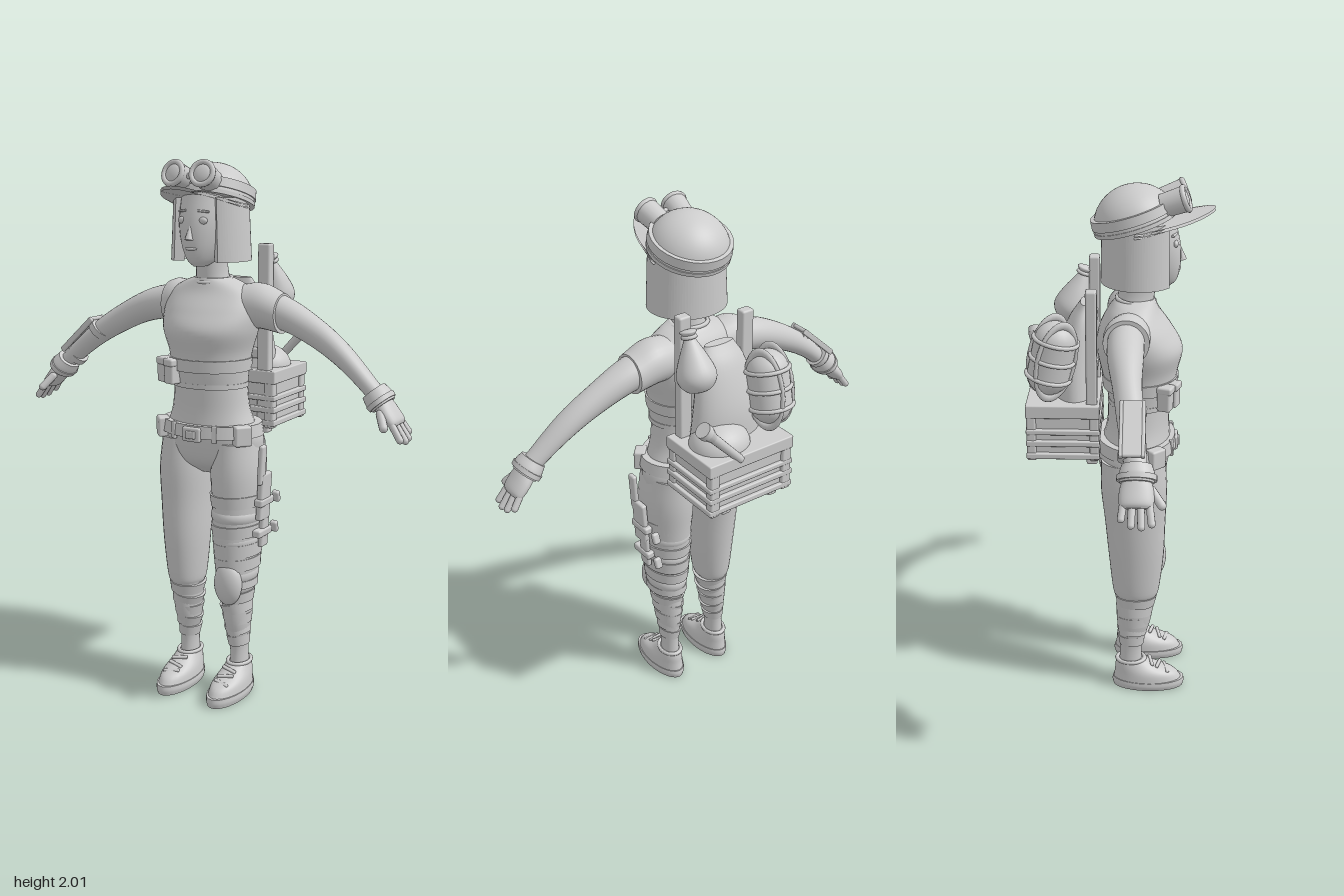
import * as THREE from 'three';
import { RoundedBoxGeometry } from 'three/addons/geometries/RoundedBoxGeometry.js';

const grey = new THREE.MeshStandardMaterial({ color: 0xcccccc, side: THREE.DoubleSide });
grey.name = 'plain grey';

function add(parent, name, geo, pos = [0, 0, 0], rot = [0, 0, 0], scale = [1, 1, 1]) {
  const m = new THREE.Mesh(geo, grey);
  m.name = name;
  m.position.set(...pos);
  m.rotation.set(...rot);
  m.scale.set(...scale);
  parent.add(m);
  return m;
}

// Smooth skin through oval sections [x, y, z, r1, r2], stacked along y or along x.
function loft(sections, axis = 'y', steps = 5, n = 28) {
  const mid = new THREE.CatmullRomCurve3(sections.map(s => new THREE.Vector3(s[0], s[1], s[2])), false, 'catmullrom');
  const rad = new THREE.CatmullRomCurve3(sections.map(s => new THREE.Vector3(s[3], s[4], 0)), false, 'catmullrom');
  const rows = (sections.length - 1) * steps, pos = [], idx = [];
  const ring = t => {
    const c = mid.getPoint(t), r = rad.getPoint(t);
    for (let j = 0; j < n; j++) {
      const a = j / n * Math.PI * 2, u = Math.cos(a), v = Math.sin(a);
      if (axis === 'y') pos.push(c.x + r.x * u, c.y, c.z + r.y * v);
      else pos.push(c.x, c.y + r.x * v, c.z + r.y * u);
    }
  };
  for (let k = 0; k <= rows; k++) ring(k / rows);
  for (let k = 0; k < rows; k++) for (let j = 0; j < n; j++) {
    const p = k * n + j, r = k * n + (j + 1) % n;
    idx.push(p, p + n, r, r, p + n, r + n);
  }
  for (const t of [0, 1]) {
    const base = pos.length / 3;
    ring(t);
    for (let j = 1; j < n - 1; j++) idx.push(base, base + (t ? j + 1 : j), base + (t ? j : j + 1));
  }
  const g = new THREE.BufferGeometry();
  g.setAttribute('position', new THREE.Float32BufferAttribute(pos, 3));
  g.setIndex(idx);
  g.computeVertexNormals();
  return g;
}

const box = (w, h, d, r = 0.008) => new RoundedBoxGeometry(w, h, d, 2, r);
const ball = new THREE.SphereGeometry(1, 28, 20);
const band = (parent, name, x, y, z, rx, rz, h, tilt = 0, taper = 1) =>
  add(parent, name, new THREE.CylinderGeometry(1, taper, h, 32), [x, y, z], [0, 0, tilt], [rx, 1, rz]);
const rod = (r1, r2, len) => new THREE.CylinderGeometry(r1, r2, len, 16);

function buildHead(g) {
  add(g, 'neck', loft([[0, 1.54, 0.06, 0.08, 0.075], [0, 1.6, 0.07, 0.058, 0.066], [0, 1.7, 0.085, 0.055, 0.065]]));
  add(g, 'face', loft([[0, 1.64, 0.155, 0.022, 0.035], [0, 1.665, 0.135, 0.05, 0.08], [0, 1.72, 0.11, 0.08, 0.118],
    [0, 1.8, 0.095, 0.098, 0.13], [0, 1.9, 0.08, 0.1, 0.12]]));
  add(g, 'nose', new THREE.ConeGeometry(0.015, 0.06, 12), [0, 1.765, 0.228], [-0.2, 0, 0]);
  add(g, 'mouth', ball, [0, 1.705, 0.218], [0, 0, 0], [0.025, 0.007, 0.011]);
  for (const s of [-1, 1]) {
    add(g, 'eye', ball, [s * 0.042, 1.803, 0.208], [0, 0, 0], [0.018, 0.013, 0.01]);
    add(g, 'eyebrow', box(0.042, 0.008, 0.012, 0.003), [s * 0.042, 1.835, 0.204], [0, s * 0.35, s * -0.1]);
  }
  // Bob: an open C outline drawn downwards, flaring towards the tips
  const outline = new THREE.Shape();
  outline.absellipse(0, 0, 0.137, 0.132, -0.92, Math.PI + 0.92, false);
  outline.absellipse(0, 0, 0.095, 0.1, Math.PI + 0.92, -0.92, true);
  const hair = new THREE.ExtrudeGeometry(outline, { depth: 0.225, steps: 6, bevelEnabled: false, curveSegments: 36 });
  hair.rotateX(-Math.PI / 2);
  const p = hair.attributes.position;
  for (let i = 0; i < p.count; i++) {
    const f = 1 + 0.09 * (1 - p.getY(i) / 0.225);
    p.setXYZ(i, p.getX(i) * f, p.getY(i), p.getZ(i) * (1 + (f - 1) * 0.4));
  }
  hair.computeVertexNormals();
  add(g, 'hair', hair, [0, 1.657, 0.08]);

  // Cap with a bent brim
  const cap = new THREE.Group();
  cap.name = 'cap';
  cap.position.set(0, 1.866, 0.066);
  cap.rotation.x = -0.3;
  g.add(cap);
  add(cap, 'capDome', new THREE.SphereGeometry(1, 36, 14, 0, Math.PI * 2, 0, Math.PI / 2), [0, 0, 0], [0, 0, 0], [0.147, 0.135, 0.148]);
  band(cap, 'capBand', 0, 0.003, 0, 0.15, 0.151, 0.014);
  band(cap, 'goggleStrap', 0, 0.038, 0, 0.148, 0.15, 0.034, 0, 1.02);
  const brim = new THREE.PlaneGeometry(2, 1, 24, 6), b = brim.attributes.position;
  for (let i = 0; i < b.count; i++) {
    const a = b.getX(i) * Math.PI / 2, v = b.getY(i) + 0.5;
    const x = Math.sin(a) * (0.146 - 0.012 * v), z = 0.065 + Math.cos(a) * (0.12 + 0.16 * v);
    b.setXYZ(i, x, 1.9 - 2.2 * x * x + 0.025 * v * Math.cos(a), z);
  }
  brim.computeVertexNormals();
  add(g, 'capBrim', brim);
  add(g, 'capBrimUnderside', brim, [0, -0.01, 0]);
  // Goggles resting on the cap
  for (const s of [-1, 1]) {
    const cup = new THREE.Group();
    cup.name = 'goggleCup';
    cup.position.set(s * 0.054, 1.951, 0.2);
    cup.rotation.set(-0.35, s * 0.12, 0);
    g.add(cup);
    add(cup, 'cupBody', rod(0.046, 0.042, 0.085), [0, 0, 0], [Math.PI / 2, 0, 0]);
    add(cup, 'cupRim', new THREE.TorusGeometry(0.04, 0.01, 10, 28), [0, 0, 0.042]);
    add(cup, 'lens', ball, [0, 0, 0.04], [0, 0, 0], [0.034, 0.034, 0.012]);
  }
  add(g, 'goggleBridge', box(0.04, 0.02, 0.02), [0, 1.955, 0.215]);
}

function buildTorso(g) {
  add(g, 'waist', loft([[0, 1.04, 0.075, 0.18, 0.13], [0, 1.12, 0.082, 0.152, 0.116], [0, 1.23, 0.085, 0.14, 0.115]]));
  add(g, 'shirt', loft([[0, 1.2, 0.09, 0.145, 0.118], [0, 1.26, 0.09, 0.15, 0.128], [0, 1.33, 0.085, 0.158, 0.142],
    [0, 1.41, 0.085, 0.182, 0.157], [0, 1.48, 0.07, 0.19, 0.135], [0, 1.54, 0.062, 0.17, 0.1], [0, 1.575, 0.065, 0.12, 0.08], [0, 1.595, 0.07, 0.068, 0.068]], 'y', 6, 40));
  add(g, 'collar', new THREE.TorusGeometry(0.069, 0.008, 8, 32), [0, 1.587, 0.07], [Math.PI / 2 + 0.12, 0, 0]);
  band(g, 'chestStrap', 0, 1.285, 0.088, 0.16, 0.142, 0.045, 0, 0.98);
  band(g, 'shirtHem', 0, 1.21, 0.09, 0.149, 0.122, 0.018);
  for (const x of [-0.135, -0.09]) {
    add(g, 'ribPouch', box(0.05, 0.085, 0.05), [x, 1.255, 0.205 - (x < -0.1 ? 0.025 : 0)], [0, -0.35, 0]);
    add(g, 'ribPouchFlap', box(0.054, 0.028, 0.056), [x, 1.292, 0.207 - (x < -0.1 ? 0.025 : 0)], [0, -0.35, 0]);
  }
  add(g, 'pelvis', loft([[0, 0.87, 0.06, 0.07, 0.06], [0, 0.92, 0.063, 0.18, 0.118], [0, 1.0, 0.066, 0.203, 0.138], [0, 1.06, 0.075, 0.186, 0.134]]));
  band(g, 'belt', 0, 1.045, 0.074, 0.196, 0.147, 0.046, 0, 1.04);
  add(g, 'beltBuckle', box(0.075, 0.055, 0.02), [0, 1.035, 0.222]);
  add(g, 'buckleCentre', box(0.04, 0.028, 0.012, 0.004), [0, 1.035, 0.233]);
  for (const s of [-1, 1]) {
    add(g, 'beltPouch', box(0.065, 0.075, 0.045), [s * 0.17, 1.035, 0.15], [0, s * 0.85, 0]);
    add(g, 'beltLoop', box(0.018, 0.065, 0.015, 0.004), [s * 0.085, 1.04, 0.207], [0, s * 0.3, 0]);
  }
}

// Built on +x; mirrored for the other side
function buildArm(g, side) {
  const arm = new THREE.Group();
  arm.name = side > 0 ? 'leftArm' : 'rightArm';
  arm.scale.x = side;
  g.add(arm);
  add(arm, 'armSkin', loft([[0.12, 1.5, 0.04, 0.07, 0.065], [0.28, 1.475, 0.04, 0.062, 0.064], [0.42, 1.412, 0.05, 0.056, 0.05],
    [0.54, 1.335, 0.066, 0.05, 0.046], [0.66, 1.23, 0.085, 0.042, 0.037], [0.7, 1.195, 0.09, 0.04, 0.036]], 'x'));
  add(arm, 'sleeve', loft(side > 0
    ? [[0.1, 1.49, 0.05, 0.08, 0.08], [0.19, 1.497, 0.042, 0.082, 0.083], [0.275, 1.474, 0.04, 0.072, 0.078]]
    : [[0.1, 1.49, 0.05, 0.08, 0.08], [0.16, 1.495, 0.042, 0.085, 0.083], [0.195, 1.487, 0.04, 0.084, 0.082]], 'x'));
  // Glove, palm and fingers along the hand's own x
  const hand = new THREE.Group();
  hand.name = 'hand';
  hand.position.set(0.655, 1.235, 0.088);
  hand.rotation.z = -0.85;
  arm.add(hand);
  add(hand, 'gloveCuff', loft([[-0.005, 0, 0, 0.045, 0.05], [0.03, 0, 0, 0.05, 0.06], [0.055, 0, 0, 0.042, 0.056]], 'x'));
  add(hand, 'cuffStrap', loft([[0.03, 0, 0, 0.053, 0.066], [0.048, 0, 0, 0.05, 0.066]], 'x', 1));
  add(hand, 'palm', loft([[0.03, 0, 0, 0.034, 0.042], [0.08, 0, 0, 0.03, 0.056], [0.125, 0, 0, 0.025, 0.056], [0.14, 0, 0, 0.013, 0.045]], 'x'));
  for (let i = 0; i < 4; i++) {
    const z = 0.042 - i * 0.028, len = [0.06, 0.07, 0.065, 0.045][i];
    add(hand, 'finger', new THREE.CapsuleGeometry(0.0125, len, 5, 12), [0.128 + len / 2, -0.004, z * 1.1], [0, -z * 3, Math.PI / 2 - 0.1]);
  }
  add(hand, 'thumb', new THREE.CapsuleGeometry(0.015, 0.06, 5, 12), [0.1, -0.012, 0.065], [0, -0.6, Math.PI / 2 - 0.1]);
  if (side < 0) {
    const guard = new THREE.Group();
    guard.name = 'forearmGuard';
    guard.position.set(0.57, 1.312, 0.071);
    guard.rotation.z = -0.74;
    arm.add(guard);
    add(guard, 'guardPlate', box(0.2, 0.016, 0.07), [0, 0.043, 0]);
    for (const z of [-0.036, 0.036]) add(guard, 'guardSide', box(0.2, 0.022, 0.014, 0.005), [0, 0.04, z]);
    for (const x of [-0.08, 0.08]) add(guard, 'guardStrap', rod(0.047, 0.047, 0.025), [x, 0, 0], [0, 0, Math.PI / 2]);
  }
}

function buildLeg(g, side) {
  const leg = new THREE.Group();
  leg.name = side > 0 ? 'leftLeg' : 'rightLeg';
  leg.scale.x = side;
  g.add(leg);
  add(leg, 'trouserLeg', loft([[0.108, 0.415, 0.08, 0.06, 0.078], [0.11, 0.45, 0.08, 0.071, 0.09], [0.11, 0.6, 0.08, 0.085, 0.106],
    [0.112, 0.75, 0.075, 0.093, 0.115], [0.112, 0.88, 0.07, 0.099, 0.124], [0.108, 1.0, 0.066, 0.09, 0.12]]));
  add(leg, 'calf', loft([[0.112, 0.09, 0.06, 0.034, 0.045], [0.111, 0.19, 0.062, 0.034, 0.044], [0.11, 0.3, 0.072, 0.05, 0.066], [0.11, 0.44, 0.08, 0.06, 0.078]]));
  for (let i = 0; i < 5; i++)
    band(leg, 'legWrap', 0.11, 0.21 + i * 0.046, 0.064 + i * 0.004, 0.044 + i * 0.006, 0.054 + i * 0.007, 0.04, i % 2 ? 0.22 : 0.1, 0.88);
  // Shoe with sole, toe cap and laces
  add(leg, 'sole', loft([[0.112, 0, 0.132, 0.062, 0.14], [0.112, 0.018, 0.132, 0.067, 0.144], [0.112, 0.036, 0.132, 0.066, 0.142]]));
  add(leg, 'shoeUpper', loft([[0.112, 0.03, 0.13, 0.064, 0.137], [0.112, 0.065, 0.118, 0.06, 0.12], [0.112, 0.095, 0.082, 0.051, 0.082], [0.112, 0.122, 0.062, 0.043, 0.056]]));
  for (let i = 0; i < 3; i++)
    add(leg, 'lace', box(0.065, 0.01, 0.014, 0.004), [0.112, 0.108 - i * 0.016, 0.142 + i * 0.03], [0.5, i % 2 ? 0.25 : -0.25, 0]);
  add(leg, 'shoeCollar', new THREE.TorusGeometry(1, 0.16, 8, 28), [0.112, 0.12, 0.062], [Math.PI / 2, 0, 0], [0.042, 0.055, 0.05]);
  if (side < 0) return;

  // Padded thigh, straps, knee pad and holster
  for (const [y, rx, rz, h] of [[0.78, 0.1, 0.121, 0.045], [0.665, 0.096, 0.117, 0.045], [0.59, 0.089, 0.111, 0.05], [0.535, 0.084, 0.107, 0.045]])
    band(leg, 'thighStrap', 0.112, y, 0.077, rx, rz, h, 0.03, 0.96);
  for (const y of [0.72, 0.625, 0.49]) add(leg, 'legPadding', ball, [0.112, y, 0.078], [0, 0, 0], [0.095 - (0.72 - y) * 0.08, 0.06, 0.117 - (0.72 - y) * 0.08]);
  add(leg, 'kneePad', ball, [0.116, 0.462, 0.158], [0, 0, 0], [0.056, 0.085, 0.04]);
  band(leg, 'kneeStrap', 0.11, 0.455, 0.08, 0.076, 0.094, 0.03);
  const holster = new THREE.Group();
  holster.name = 'holster';
  holster.position.set(0.222, 0.78, 0.075);
  holster.rotation.z = -0.06;
  leg.add(holster);
  add(holster, 'grip', box(0.02, 0.15, 0.038), [0, 0.145, 0.035]);
  add(holster, 'holsterBody', box(0.024, 0.18, 0.075), [0, 0.02, 0.005]);
  add(holster, 'holsterTip', box(0.02, 0.13, 0.05), [0, -0.115, -0.01]);
  for (const y of [0, -0.12]) {
    add(holster, 'holsterStrap', box(0.034, 0.03, 0.1), [0, y, 0]);
    add(holster, 'strapClip', box(0.03, 0.045, 0.022), [0, y - 0.005, -0.095], [0.3, 0, 0]);
  }
}

function buildBackpack(g) {
  const pack = new THREE.Group();
  pack.name = 'backpack';
  g.add(pack);
  // Frame
  add(pack, 'leftPost', box(0.05, 0.71, 0.04), [0.135, 1.355, -0.085]);
  add(pack, 'rightPost', box(0.05, 0.66, 0.04), [-0.135, 1.33, -0.085]);
  for (const y of [1.3, 1.5]) add(pack, 'crossBar', box(0.3, 0.04, 0.025), [0, y, -0.085]);
  add(pack, 'innerBag', loft([[0, 1.2, -0.15, 0.15, 0.08], [0, 1.35, -0.15, 0.13, 0.075], [0, 1.5, -0.13, 0.1, 0.05], [0, 1.58, -0.11, 0.06, 0.02]]));
  // Crate with rims and corner posts
  add(pack, 'crate', box(0.34, 0.21, 0.24), [0.005, 1.125, -0.19]);
  for (const [y, h] of [[1.04, 0.022], [1.09, 0.022], [1.135, 0.02], [1.215, 0.05]])
    add(pack, 'crateRim', box(0.372, h, 0.268, 0.005), [0.005, y, -0.19]);
  for (const x of [-0.155, 0.165]) for (const z of [-0.075, -0.305]) add(pack, 'crateCorner', box(0.04, 0.21, 0.035), [x, 1.125, z]);
  for (const x of [-0.1, 0.11]) add(pack, 'crateRunner', box(0.04, 0.02, 0.25), [x, 1.02, -0.19]);
  add(pack, 'bundle', ball, [0.06, 1.23, -0.2], [0, 0, 0], [0.115, 0.09, 0.105]);
  // Hanging sack
  const sack = [[0, 0], [0.04, 0.006], [0.066, 0.035], [0.07, 0.07], [0.052, 0.12], [0.028, 0.17], [0.018, 0.195], [0.03, 0.215], [0, 0.22]];
  const curve = new THREE.SplineCurve(sack.map(q => new THREE.Vector2(...q)));
  const prof = curve.getPoints(30).map(q => new THREE.Vector2(Math.max(q.x, 0), q.y));
  add(pack, 'sack', new THREE.LatheGeometry(prof, 28), [0.135, 1.46, -0.185], [0.32, 0, 0]);
  add(pack, 'sackTie', new THREE.TorusGeometry(0.022, 0.007, 8, 20), [0.135, 1.645, -0.124], [Math.PI / 2 + 0.32, 0, 0]);
  // Bedroll in a strap cage
  const roll = new THREE.Group();
  roll.name = 'strappedRoll';
  roll.position.set(-0.14, 1.41, -0.225);
  roll.rotation.set(0.22, 0.45, 0);
  pack.add(roll);
  add(roll, 'rollBody', new THREE.CapsuleGeometry(0.078, 0.12, 8, 24));
  for (const y of [-0.07, 0, 0.07]) add(roll, 'rollRing', new THREE.TorusGeometry(0.08, 0.008, 8, 28), [0, y, 0], [Math.PI / 2, 0, 0]);
  for (const x of [-0.04, 0.04]) add(roll, 'rollStrap', new THREE.TorusGeometry(0.08, 0.009, 8, 32), [x, 0, 0], [0, Math.PI / 2, 0], [0.9, 1.75, 1]);
  // Lamp across the rear edge
  const lamp = new THREE.Group();
  lamp.name = 'handLamp';
  lamp.position.set(0.13, 1.305, -0.315);
  lamp.rotation.z = -0.75;
  pack.add(lamp);
  add(lamp, 'lampBody', rod(0.018, 0.015, 0.19), [0, -0.02, 0]);
  add(lamp, 'lampNeck', rod(0.03, 0.018, 0.04), [0, 0.085, 0]);
  add(lamp, 'lampHead', rod(0.03, 0.03, 0.025), [0, 0.115, 0]);
}

export function createModel() {
  const g = new THREE.Group();
  g.name = 'explorer';
  buildHead(g);
  buildTorso(g);
  for (const side of [1, -1]) { buildArm(g, side); buildLeg(g, side); }
  buildBackpack(g);
  return g;
}
